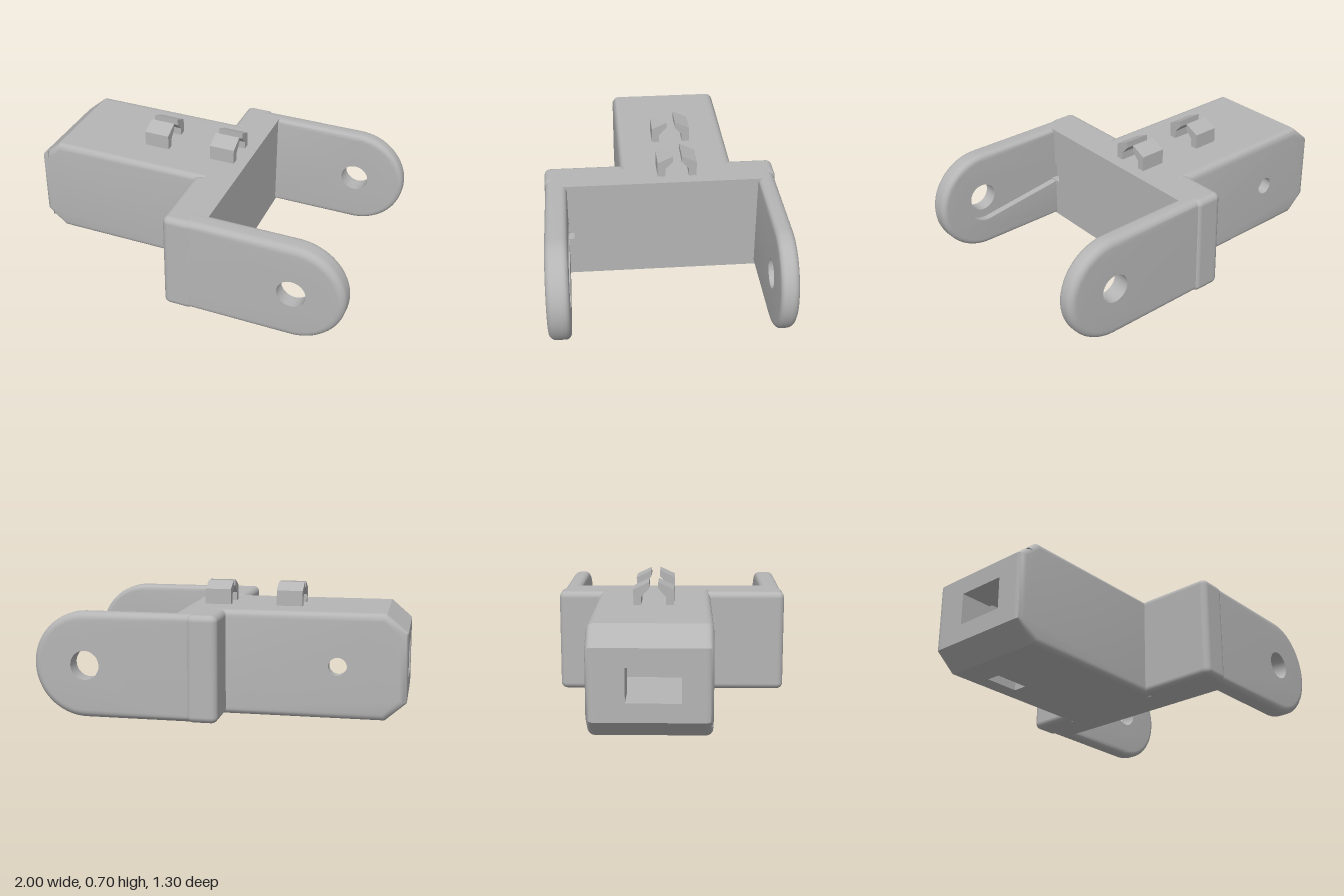
import * as THREE from 'three';
import { toCreasedNormals } from 'three/addons/utils/BufferGeometryUtils.js';
import { RoundedBoxGeometry } from 'three/addons/geometries/RoundedBoxGeometry.js';

const V = (x, y) => new THREE.Vector2(x, y);
const poly = (...c) => c.map(([x, y]) => V(x, y));

// points along an arc
function arc(cx, cy, r, a0, a1, n) {
  return Array.from({ length: n + 1 }, (_, i) => {
    const a = a0 + (a1 - a0) * i / n;
    return V(cx + r * Math.cos(a), cy + r * Math.sin(a));
  });
}
const circle = (x, y, r, n = 40) => arc(x, y, r, 0, 2 * Math.PI * (n - 1) / n, n - 1);

// rectangle with round tool reliefs at its corners
function reliefRect(x0, y0, x1, y1, r = 0.02) {
  const q = Math.PI / 2;
  return [[x0, y0, 1], [x1, y0, 2], [x1, y1, 3], [x0, y1, 4]]
    .flatMap(([x, y, k]) => arc(x, y, r, k * q, (k + 3) * q, 12));
}

// counter-clockwise outline moved inward by d
function inset(pts, d) {
  if (!d) return pts;
  const n = pts.length;
  return pts.map((p, i) => {
    const a = p.clone().sub(pts[(i + n - 1) % n]).normalize();
    const b = pts[(i + 1) % n].clone().sub(p).normalize();
    const k = d / (1 + a.dot(b));
    return V(p.x - (a.y + b.y) * k, p.y + (a.x + b.x) * k);
  });
}

// slab along z with straight holes and optional rounded back / front rims
function solid(outline, holes, z0, z1, rBack = 0, rFront = 0) {
  const pos = [], rings = [], N = 5;
  const rim = (r, z, s) => {
    const out = [];
    for (let i = 0; i <= (r ? N : 0); i++) {
      const a = i / N * Math.PI / 2;
      out.push([r * (1 - Math.sin(a)), z + s * r * (1 - Math.cos(a))]);
    }
    return out;
  };
  rings.push(...rim(rBack, z0, 1), ...rim(rFront, z1, -1).reverse());
  const band = (A, za, B, zb) => A.forEach((a, i) => {
    const j = (i + 1) % A.length, b = A[j], c = B[j], d = B[i];
    pos.push(a.x, a.y, za, b.x, b.y, za, c.x, c.y, zb, a.x, a.y, za, c.x, c.y, zb, d.x, d.y, zb);
  });
  for (let k = 0; k + 1 < rings.length; k++) {
    band(inset(outline, rings[k][0]), rings[k][1], inset(outline, rings[k + 1][0]), rings[k + 1][1]);
  }
  holes.forEach(h => {
    const H = THREE.ShapeUtils.isClockWise(h) ? h : [...h].reverse();
    band(H, z0, H, z1);
  });
  [[rBack, z0, true], [rFront, z1, false]].forEach(([r, z, flip]) => {
    const s = new THREE.Shape(inset(outline, r));
    s.holes = holes.map(h => new THREE.Path(h));
    const p = new THREE.ShapeGeometry(s).toNonIndexed().attributes.position;
    for (let i = 0; i < p.count; i += 3) {
      (flip ? [0, 2, 1] : [0, 1, 2]).forEach(k => pos.push(p.getX(i + k), p.getY(i + k), z));
    }
  });
  const g = new THREE.BufferGeometry();
  g.setAttribute('position', new THREE.Float32BufferAttribute(pos, 3));
  return toCreasedNormals(g, 0.6);
}

export function createModel() {
  const model = new THREE.Group();
  model.name = 'servoBracket';
  const grey = new THREE.MeshStandardMaterial({ color: 0xb5b5b5 });
  grey.name = 'plainGrey';
  const add = (name, geo) => {
    const m = new THREE.Mesh(geo, grey);
    m.name = name;
    model.add(m);
    return m;
  };
  const box = (name, x0, x1, y0, y1, z0, z1, r = 0) => {
    const s = [x1 - x0, y1 - y0, z1 - z0];
    add(name, r ? new RoundedBoxGeometry(...s, 4, r) : new THREE.BoxGeometry(...s))
      .position.set((x0 + x1) / 2, (y0 + y1) / 2, (z0 + z1) / 2);
  };

  // housing, stacked from back to front
  const hull = poly([-1, 0.1], [-0.885, 0], [0.1, 0], [0.1, 0.58], [-0.885, 0.58], [-1, 0.48]);
  const cavity = poly([-0.81, 0.1], [-0.125, 0.1], [-0.125, 0.49], [-0.81, 0.49]);
  const floorGap = poly([-1, 0.1], [-0.885, 0], [-0.72, 0], [-0.72, 0.1], [-0.81, 0.1], [-0.81, 0.49],
    [-0.125, 0.49], [-0.125, 0.1], [-0.52, 0.1], [-0.52, 0], [0.1, 0], [0.1, 0.58], [-0.885, 0.58], [-1, 0.48]);
  const endGap = poly([-1, 0.1], [-0.885, 0], [0.1, 0], [0.1, 0.58], [-0.885, 0.58], [-1, 0.48], [-1, 0.38],
    [-0.81, 0.38], [-0.81, 0.49], [-0.125, 0.49], [-0.125, 0.1], [-0.81, 0.1], [-0.81, 0.2], [-1, 0.2]);
  add('housingBack', solid(hull, [circle(-0.63, 0.29, 0.05)], -0.42, -0.36, 0.04));
  add('housingRearWalls', solid(hull, [cavity], -0.36, -0.3));
  add('housingFloorSlot', solid(floorGap, [], -0.3, -0.22));
  add('housingEndWindow', solid(endGap, [], -0.22, 0.06));
  add('screwLedges', solid(hull, [reliefRect(-0.81, 0.1, -0.125, 0.49),
    circle(-0.87, 0.29, 0.028, 24), circle(-0.065, 0.29, 0.028, 24)], 0.06, 0.15));
  add('housingPocket', solid(hull, [reliefRect(-0.95, 0.1, 0.01, 0.49)], 0.15, 0.185));
  add('housingRim', solid(hull, [poly([-0.955, 0.07], [0.01, 0.07], [0.01, 0.515], [-0.955, 0.515])],
    0.185, 0.22, 0, 0.035));

  // crossbar with a small notch beside the front arm
  box('crossbar', 0.04, 0.21, 0, 0.58, -0.6, 0.495);
  box('crossbarNotchBottom', 0.04, 0.21, 0, 0.235, 0.495, 0.6);
  box('crossbarNotchTop', 0.04, 0.21, 0.35, 0.58, 0.495, 0.6);
  box('backShoulder', -0.02, 0.15, 0, 0.58, -0.655, -0.37, 0.035);
  box('frontShoulder', -0.02, 0.15, 0, 0.58, 0.19, 0.65, 0.035);

  // fork arms
  const arm = [V(0.1, 0), ...arc(0.71, 0.29, 0.29, -Math.PI / 2, Math.PI / 2, 40), V(0.1, 0.58)];
  const pin = circle(0.71, 0.29, 0.08);
  add('backArm', solid(arm, [pin], -0.645, -0.545, 0.04, 0.03));
  add('frontArmOuter', solid(arm, [pin], 0.565, 0.645, 0, 0.04));
  // tapered recess on the inside of the front arm
  const recess = [V(0.17, 0.235), ...arc(0.71, 0.29, 0.13, -1.7, 1.7, 32), V(0.17, 0.345)];
  add('frontArmInner', solid(arm, [recess], 0.525, 0.565, 0.03, 0));

  // cable clips: facing pairs of hooks on the roof
  const hook = [[0.015, 0.57], [0.015, 0.665], [-0.07, 0.705], [-0.07, 0.67], [-0.028, 0.625], [-0.028, 0.57]];
  for (const x of [-0.41, -0.005]) {
    for (const back of [false, true]) {
      const s = new THREE.Shape(hook.map(([z, y]) => V(back ? 0.19 + z : -z, y)));
      const g = new THREE.ExtrudeGeometry(s, { depth: 0.145, bevelEnabled: false });
      g.rotateY(Math.PI / 2);
      add(back ? 'clipHookBack' : 'clipHookFront', g).position.x = x;
    }
  }
  return model;
}
